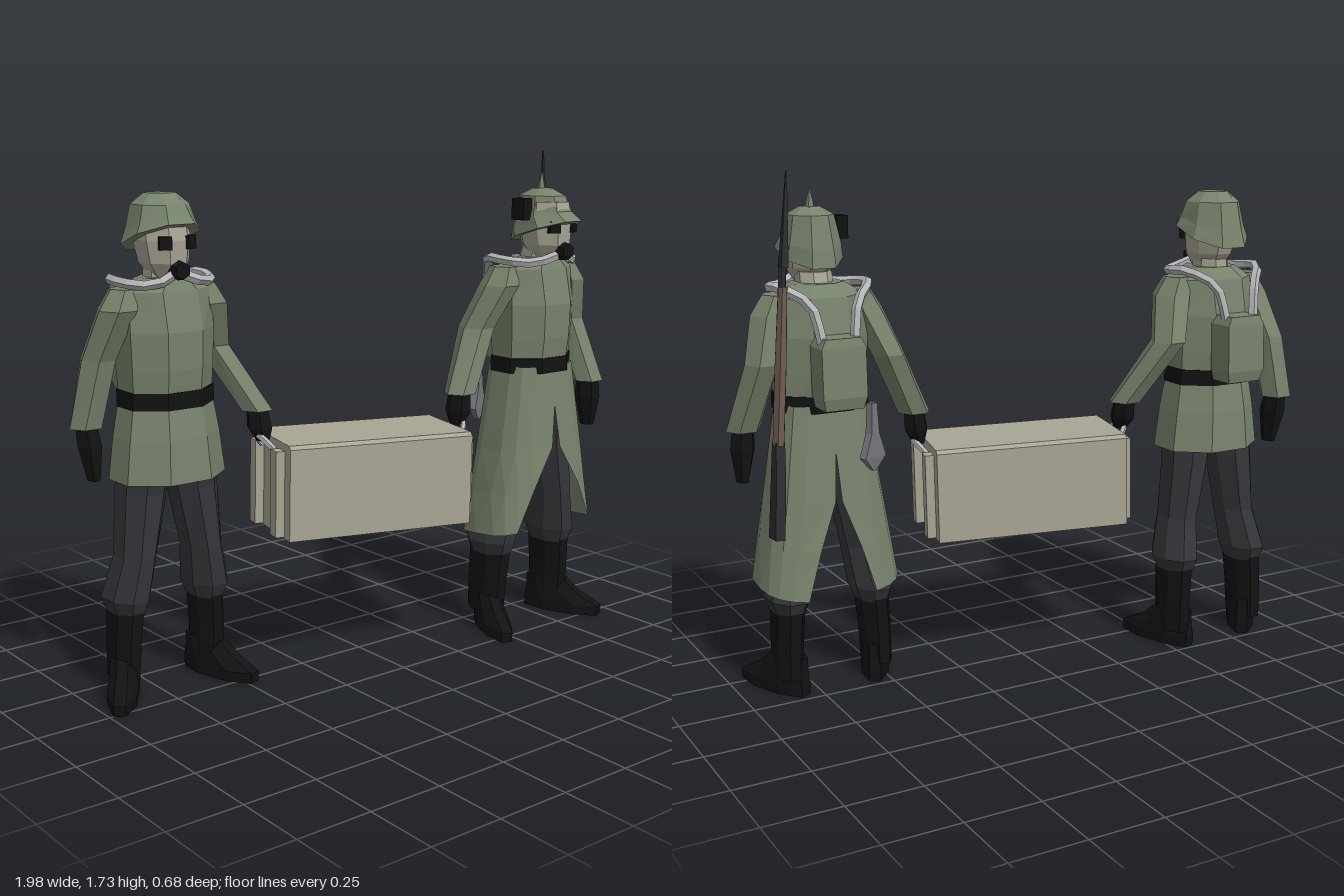
import * as THREE from 'three';

const mat = (color, side = THREE.FrontSide) => new THREE.MeshStandardMaterial({ color, flatShading: true, side });
const CLOTH = mat(0x78836c), COAT = mat(0x78836c, THREE.DoubleSide), TROUSERS = mat(0x36363b), BLACK = mat(0x121212);
const MASK = mat(0xa8a594), HOSE = mat(0xb4b4b6), STEEL = mat(0x2c2d31), WOOD = mat(0x6c5a50), SPADE = mat(0x77777c);

function add(parent, name, geometry, material, x = 0, y = 0, z = 0) {
  const mesh = new THREE.Mesh(geometry, material);
  mesh.name = name;
  mesh.position.set(x, y, z);
  parent.add(mesh);
  return mesh;
}

// Closed skin over level rings [x, y, z, halfWidth, halfDepth, tilt]
function loft(rings, n = 8) {
  const pos = [], idx = [], k = 1 / Math.cos(Math.PI / n);
  const sorted = [...rings].sort((a, b) => a[1] - b[1]);
  for (const [x, y, z, rx, rz, tilt = 0] of sorted)
    for (let i = 0; i < n; i++) {
      const a = (i + 0.5) / n * Math.PI * 2, dz = Math.cos(a) * rz * k;
      pos.push(x + Math.sin(a) * rx * k, y + tilt * dz, z + dz);
    }
  const last = (sorted.length - 1) * n;
  for (let i = 0; i < n; i++) {
    const j = (i + 1) % n;
    for (let r = 0; r < last; r += n) idx.push(r + i, r + j, r + n + j, r + i, r + n + j, r + n + i);
    if (i > 0 && i < n - 1) idx.push(0, i + 1, i, last, last + i, last + i + 1);
  }
  const g = new THREE.BufferGeometry();
  g.setAttribute('position', new THREE.Float32BufferAttribute(pos, 3));
  g.setIndex(idx);
  g.computeVertexNormals();
  return g;
}

function addLeg(body, side, yaw) {
  const s = side;
  add(body, 'trouserLeg', loft([[s * 0.085, 0.8, 0, 0.08, 0.1], [s * 0.095, 0.68, -0.01, 0.075, 0.09],
    [s * 0.125, 0.47, -0.01, 0.06, 0.085], [s * 0.15, 0.33, -0.035, 0.068, 0.1], [s * 0.15, 0.28, -0.035, 0.05, 0.08]]), TROUSERS);
  add(body, 'bootShaft', loft([[s * 0.15, 0.31, -0.035, 0.05, 0.085], [s * 0.158, 0.18, -0.04, 0.046, 0.08],
    [s * 0.16, 0.06, -0.045, 0.045, 0.075]], 8), BLACK);
  const foot = add(body, 'bootFoot', loft([[0, 0, 0.07, 0.046, 0.145], [0, 0.035, 0.07, 0.048, 0.148],
    [0, 0.08, 0.03, 0.045, 0.1], [0, 0.13, 0, 0.042, 0.07]]), BLACK, s * 0.155, 0, -0.045);
  foot.rotation.y = s * yaw;
}

// Sleeve and gloved hand through shoulder, elbow and cuff
function addArm(body, elbow, cuff, hand) {
  const s = Math.sign(cuff[0]);
  add(body, 'sleeve', loft([[s * 0.14, 1.335, 0, 0.04, 0.05], [s * 0.165, 1.27, 0, 0.055, 0.068],
    [...elbow, 0.05, 0.062], [...cuff, 0.05, 0.05]], 6), CLOTH);
  add(body, 'glove', loft([[cuff[0], cuff[1] + 0.01, cuff[2], 0.032, 0.036],
    [(cuff[0] + hand[0]) / 2, cuff[1] - 0.06, (cuff[2] + hand[2]) / 2, 0.036, 0.043], [...hand, 0.018, 0.025]], 6), BLACK);
}

function addHead(body, hz) {
  add(body, 'neck', loft([[0, 1.28, 0, 0.06, 0.07], [0, 1.4, hz * 0.6, 0.055, 0.065]]), MASK);
  add(body, 'head', loft([[0, 1.36, hz + 0.02, 0.04, 0.06], [0, 1.41, hz + 0.01, 0.07, 0.09],
    [0, 1.48, hz, 0.08, 0.105], [0, 1.56, hz, 0.075, 0.09]]), MASK);
  for (const s of [-1, 1]) {
    add(body, 'eyepiece', new THREE.BoxGeometry(0.04, 0.042, 0.03), BLACK, s * 0.042, 1.475, hz + 0.092).rotation.y = s * 0.4;
    // Hose from mask, over the shoulder, to the backpack
    const path = new THREE.CatmullRomCurve3([[0.02, 1.375, hz + 0.09], [0.09, 1.35, 0.1], [0.155, 1.355, 0.03],
      [0.15, 1.36, -0.07], [0.08, 1.31, -0.15], [0.055, 1.19, -0.18]].map(p => new THREE.Vector3(s * p[0], p[1], p[2])));
    add(body, 'breathingHose', new THREE.TubeGeometry(path, 10, 0.017, 5), HOSE);
  }
  add(body, 'maskFilter', new THREE.CylinderGeometry(0.028, 0.034, 0.05, 6), BLACK, 0, 1.39, hz + 0.1).rotation.x = Math.PI / 2;
}

function addTorso(body) {
  add(body, 'tunic', loft([[0, 1.365, 0.01, 0.085, 0.08], [0, 1.325, 0, 0.15, 0.105], [0, 1.2, 0, 0.152, 0.132],
    [0, 1.08, 0, 0.148, 0.128], [0, 0.97, 0, 0.143, 0.113]]), CLOTH);
  add(body, 'belt', loft([[0, 0.955, 0, 0.15, 0.122], [0, 1.01, 0, 0.15, 0.122]]), BLACK);
  add(body, 'backpack', loft([[0, 0.98, -0.17, 0.065, 0.045], [0, 1.02, -0.175, 0.075, 0.05],
    [0, 1.18, -0.17, 0.075, 0.05], [0, 1.21, -0.17, 0.06, 0.045]], 4), CLOTH);
}

// One half of the long split coat, parting at front and back below the hips
function addCoatHalf(body, side) {
  const g = new THREE.PlaneGeometry(1, 1, 7, 4), p = g.attributes.position;
  const bend = v => Math.sign(v) * Math.abs(v) ** 0.65;
  for (let i = 0; i < p.count; i++) {
    const u = p.getX(i) + 0.5, t = 0.5 - p.getY(i), open = Math.max(0, t - 0.48) / 0.52;
    const a = 0.72 * open + (Math.PI - 1.07 * open) * u;
    p.setXYZ(i, side * (0.145 + 0.095 * t) * bend(Math.sin(a)), 0.98 - (0.59 + 0.05 * u) * t, (0.116 + 0.05 * t) * bend(Math.cos(a)));
  }
  g.computeVertexNormals();
  add(body, 'coatTail', g, COAT);
}

function createRifle() {
  const rifle = new THREE.Group();
  rifle.name = 'rifle';
  add(rifle, 'stock', loft([[0, 0, -0.012, 0.016, 0.032], [0, 0.2, -0.008, 0.016, 0.025], [0, 0.31, 0, 0.015, 0.018]], 4), STEEL);
  add(rifle, 'foreStock', loft([[0, 0.3, 0, 0.017, 0.024], [0, 0.55, 0, 0.017, 0.024], [0, 0.8, 0, 0.013, 0.017]], 6), WOOD);
  add(rifle, 'barrel', loft([[0, 0.4, 0.018, 0.013, 0.013], [0, 0.9, 0.006, 0.011, 0.012]], 6), STEEL);
  add(rifle, 'bayonet', loft([[0, 0.86, 0, 0.012, 0.015], [0, 1.16, 0, 0.002, 0.002]], 4), STEEL);
  const from = new THREE.Vector3(0.91, 0.575, -0.015), to = new THREE.Vector3(0.805, 1.725, 0.06);
  rifle.position.copy(from);
  rifle.quaternion.setFromUnitVectors(new THREE.Vector3(0, 1, 0), to.sub(from).normalize());
  return rifle;
}

function createSoldier(name, x, z, hz) {
  const body = new THREE.Group();
  body.name = name;
  body.position.set(x, 0, z);
  addTorso(body);
  addHead(body, hz);
  return body;
}

function createCrate() {
  const crate = new THREE.Group();
  crate.name = 'crate';
  // Long box with chamfered top edges
  const w = 0.168, h = 0.16, c = 0.012;
  const end = new THREE.Shape([[-w, -h], [w, -h], [w, h - c], [w - c, h], [c - w, h], [-w, h - c]].map(q => new THREE.Vector2(...q)));
  const g = new THREE.ExtrudeGeometry(end, { depth: 0.67, bevelEnabled: false });
  g.translate(0, 0, -0.335).rotateY(Math.PI / 2);
  add(crate, 'crateBody', g, MASK);
  for (const s of [-1, 1]) {
    for (const d of [-1, 1]) add(crate, 'endBatten', new THREE.BoxGeometry(0.035, 0.29, 0.05), MASK, s * 0.348, -0.01, d * 0.095);
    const handle = add(crate, 'carryHandle', new THREE.TorusGeometry(0.055, 0.011, 5, 8, Math.PI), HOSE, s * 0.345, 0.125, 0);
    handle.rotation.set(0, Math.PI / 2, 0);
    handle.rotateX(s * 0.7);
  }
  crate.position.set(-0.02, 0.643, 0.043);
  crate.rotation.set(0, -0.24, -0.02);
  return crate;
}

export function createModel() {
  const model = new THREE.Group();
  model.name = 'soldiersCarryingCrate';

  // Soldier in a short tunic with a deep steel helmet
  const a = createSoldier('tunicSoldier', -0.695, -0.12, 0);
  add(a, 'tunicSkirt', loft([[0, 0.98, 0, 0.145, 0.116], [0, 0.86, 0, 0.165, 0.135], [0, 0.72, 0, 0.182, 0.145]]), CLOTH);
  add(a, 'helmet', loft([[0, 1.625, -0.005, 0.045, 0.05], [0, 1.59, -0.005, 0.085, 0.095], [0, 1.525, -0.005, 0.1, 0.115, 0.25],
    [0, 1.485, -0.005, 0.115, 0.13, 0.37]]), CLOTH);
  addLeg(a, -1, 0.6);
  addLeg(a, 1, 0.3);
  addArm(a, [0.215, 1.12, -0.06], [0.325, 0.9, 0.04], [0.325, 0.8, 0.07]);
  addArm(a, [-0.2, 1.11, -0.07], [-0.235, 0.89, -0.1], [-0.225, 0.72, -0.08]);

  // Soldier in a long coat with a spiked helmet
  const b = createSoldier('coatSoldier', 0.685, 0.14, 0.05);
  for (const s of [-1, 1]) {
    addCoatHalf(b, s);
    addLeg(b, s, 0.4);
  }
  add(b, 'helmet', loft([[0, 1.605, 0.04, 0.03, 0.035], [0, 1.58, 0.04, 0.07, 0.085], [0, 1.5, 0.04, 0.088, 0.108, 0.25],
    [0, 1.455, 0.06, 0.097, 0.135, 0.3]]), CLOTH);
  add(b, 'helmetSpike', new THREE.ConeGeometry(0.018, 0.075, 5), CLOTH, 0, 1.632, 0.035);
  add(b, 'helmetGoggles', new THREE.BoxGeometry(0.04, 0.075, 0.06), BLACK, -0.1, 1.535, 0.04);
  addArm(b, [-0.225, 1.12, -0.05], [-0.335, 0.9, -0.01], [-0.35, 0.79, -0.01]);
  addArm(b, [0.205, 1.12, -0.03], [0.25, 0.89, 0.05], [0.26, 0.72, 0.045]);
  add(b, 'beltSpade', loft([[0, 0.98, 0, 0.012, 0.012], [0, 0.88, 0, 0.018, 0.014], [0, 0.8, 0, 0.048, 0.014], [0, 0.755, 0, 0.008, 0.008]], 4),
    SPADE, -0.12, 0, -0.15).rotation.y = 0.4;

  model.add(a, b, createCrate(), createRifle());
  return model;
}
